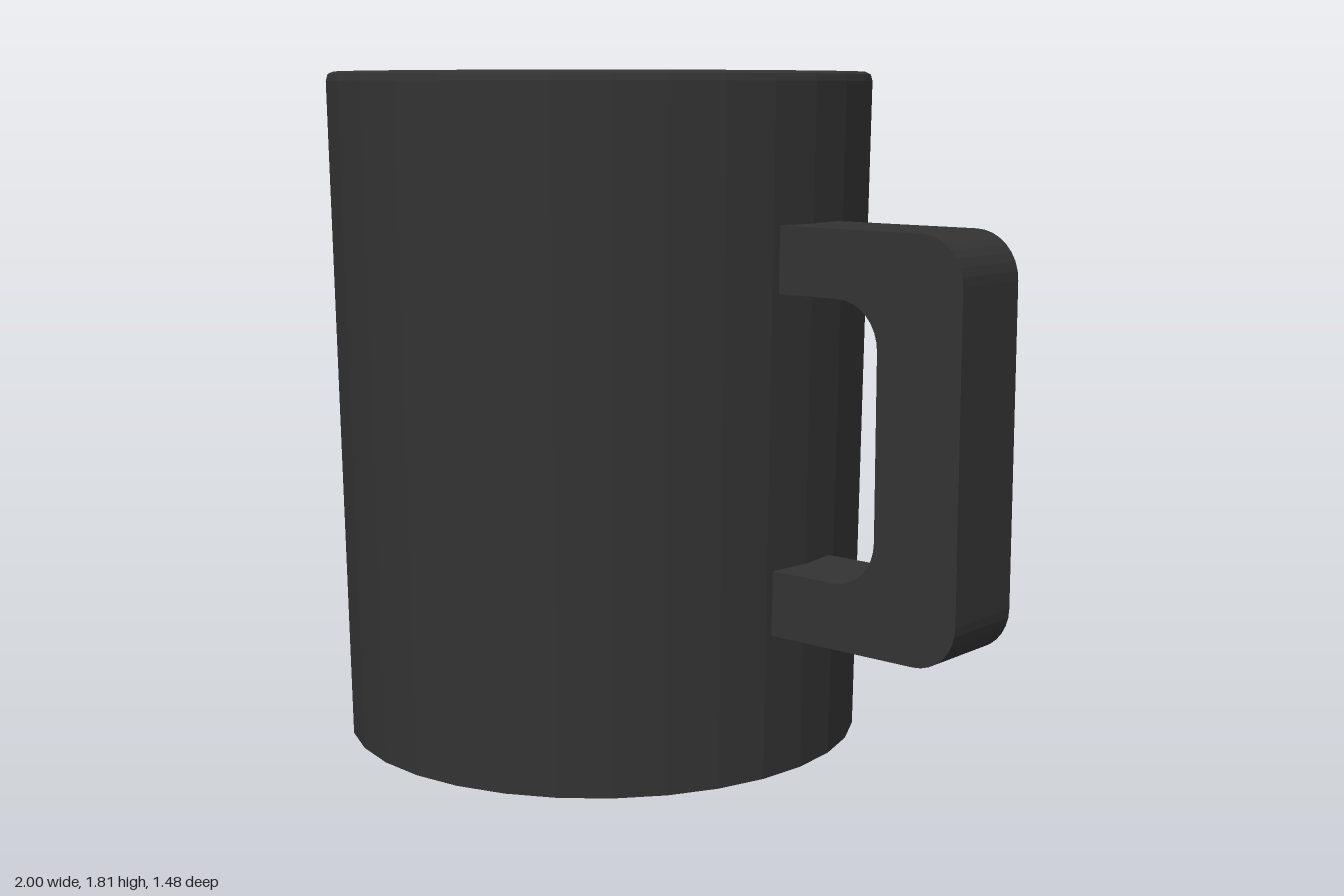
import * as THREE from 'three';

const CENTER_X = -0.26;
const SIDES = 32;

const dark = new THREE.MeshStandardMaterial({ color: 0x333333, flatShading: true });
const light = new THREE.MeshStandardMaterial({ color: 0xcccccc, flatShading: true });

function lathe(name, profile, material) {
  const points = profile.map(([r, y]) => new THREE.Vector2(r, y));
  const mesh = new THREE.Mesh(new THREE.LatheGeometry(points, SIDES), material);
  mesh.name = name;
  mesh.position.x = CENTER_X;
  return mesh;
}

// C-shaped handle outline with rounded outer and inner corners
function createHandle() {
  const root = 0.41, outer = 1, inner = 0.76;
  const bottom = 0.38, top = 1.43, holeBottom = 0.55, holeTop = 1.26;
  const r = 0.12, depth = 0.24;
  const s = new THREE.Shape();
  s.moveTo(root, bottom);
  s.lineTo(outer - r, bottom);
  s.absarc(outer - r, bottom + r, r, -Math.PI / 2, 0, false);
  s.lineTo(outer, top - r);
  s.absarc(outer - r, top - r, r, 0, Math.PI / 2, false);
  s.lineTo(root, top);
  s.lineTo(root, holeTop);
  s.lineTo(inner - r, holeTop);
  s.absarc(inner - r, holeTop - r, r, Math.PI / 2, 0, true);
  s.lineTo(inner, holeBottom + r);
  s.absarc(inner - r, holeBottom + r, r, 0, -Math.PI / 2, true);
  s.lineTo(root, holeBottom);
  s.closePath();
  const geometry = new THREE.ExtrudeGeometry(s, { depth, bevelEnabled: false, curveSegments: 4 });
  geometry.translate(0, 0, -depth / 2);
  const mesh = new THREE.Mesh(geometry, dark);
  mesh.name = 'handle';
  return mesh;
}

export function createModel() {
  const mug = new THREE.Group();
  mug.name = 'mug';

  // Outer wall with closed base and softened rim
  mug.add(lathe('body', [
    [0, 0], [0.71, 0], [0.74, 1.785], [0.735, 1.803], [0.72, 1.81],
    [0.65, 1.81], [0.635, 1.803], [0.626, 1.78],
  ], dark));

  // Light interior wall and floor
  mug.add(lathe('interior', [[0.626, 1.78], [0.626, 0.12], [0, 0.12]], light));

  mug.add(createHandle());
  return mug;
}
